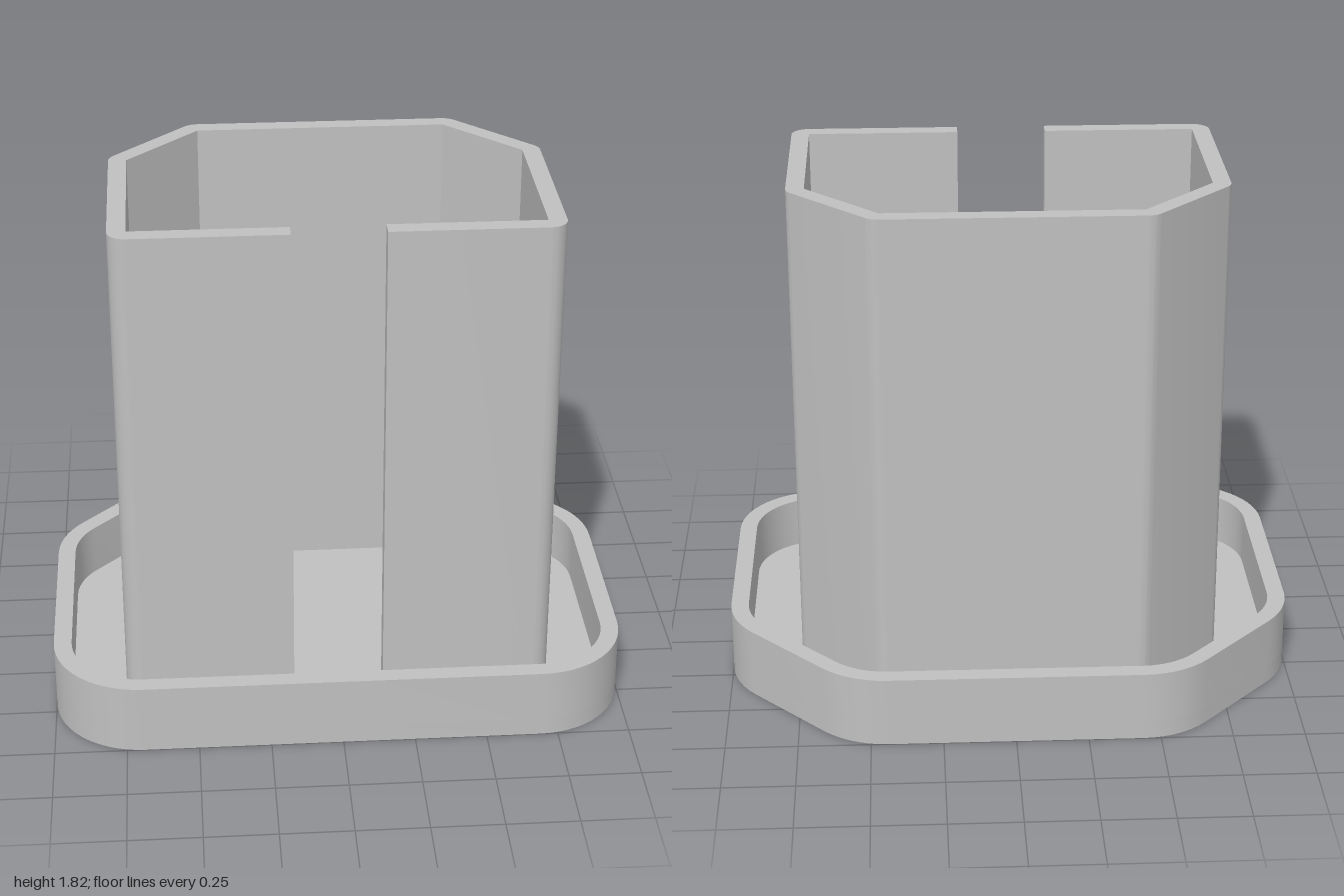
import * as THREE from 'three';
import { toCreasedNormals } from 'three/addons/utils/BufferGeometryUtils.js';

// Inner cavity corners, counter-clockwise, with shape y = -z (front is negative y)
const CORNERS = [
  [0.6875, -0.4375], [0.6875, 0.175], [0.4375, 0.4375],
  [-0.4375, 0.4375], [-0.6875, 0.175], [-0.6875, -0.4375],
].map(([x, y]) => new THREE.Vector2(x, y));

const WALL = 0.0625, FLOOR = 0.0625, RIM_TOP = 0.25, TOP = 1.815;
const SLOT = 0.157; // half width of the front slot
const FRONT = -0.4375;

// Cavity outline grown outward by d, with round corners of radius d
function outline(d) {
  if (d === 0) return CORNERS.map((p) => p.clone());
  const n = CORNERS.length, points = [];
  const edgeAngle = (a, b) => Math.atan2(b.y - a.y, b.x - a.x) - Math.PI / 2;
  CORNERS.forEach((p, i) => {
    const start = edgeAngle(CORNERS[(i + n - 1) % n], p);
    let turn = edgeAngle(p, CORNERS[(i + 1) % n]) - start;
    while (turn < 0) turn += Math.PI * 2;
    const steps = Math.ceil(turn / 0.12);
    for (let k = 0; k <= steps; k++) {
      const a = start + (turn * k) / steps;
      points.push(new THREE.Vector2(p.x + d * Math.cos(a), p.y + d * Math.sin(a)));
    }
  });
  return points;
}

// Upright prism between two heights
function prism(name, points, hole, y0, y1, material) {
  const shape = new THREE.Shape(points);
  if (hole) shape.holes.push(new THREE.Path(hole));
  const extruded = new THREE.ExtrudeGeometry(shape, { depth: y1 - y0, bevelEnabled: false });
  extruded.rotateX(-Math.PI / 2).translate(0, y0, 0);
  const mesh = new THREE.Mesh(toCreasedNormals(extruded, 0.5), material);
  mesh.name = name;
  return mesh;
}

export function createModel() {
  const group = new THREE.Group();
  group.name = 'slottedHolder';
  const grey = new THREE.MeshStandardMaterial({ color: 0xc0c0c0 });
  grey.name = 'plain grey';
  const v = (x, y) => new THREE.Vector2(x, y);

  // Tray floor with the slot opening cut through it
  const back = FRONT + 0.004, front = FRONT - WALL;
  const opening = [v(-SLOT, front), v(-SLOT, back), v(SLOT, back), v(SLOT, front)];
  group.add(prism('trayFloor', outline(0.3125), opening, 0, FLOOR, grey));

  // Raised rim around the tray
  group.add(prism('trayRim', outline(0.3125), outline(0.25), FLOOR, RIM_TOP, grey));

  // Tower wall, open at the top and along the front slot
  const wall = [
    v(SLOT, front), ...outline(WALL), v(-SLOT, front),
    v(-SLOT, FRONT), ...outline(0).reverse(), v(SLOT, FRONT),
  ];
  group.add(prism('towerWall', wall, null, FLOOR, TOP, grey));

  return group;
}
